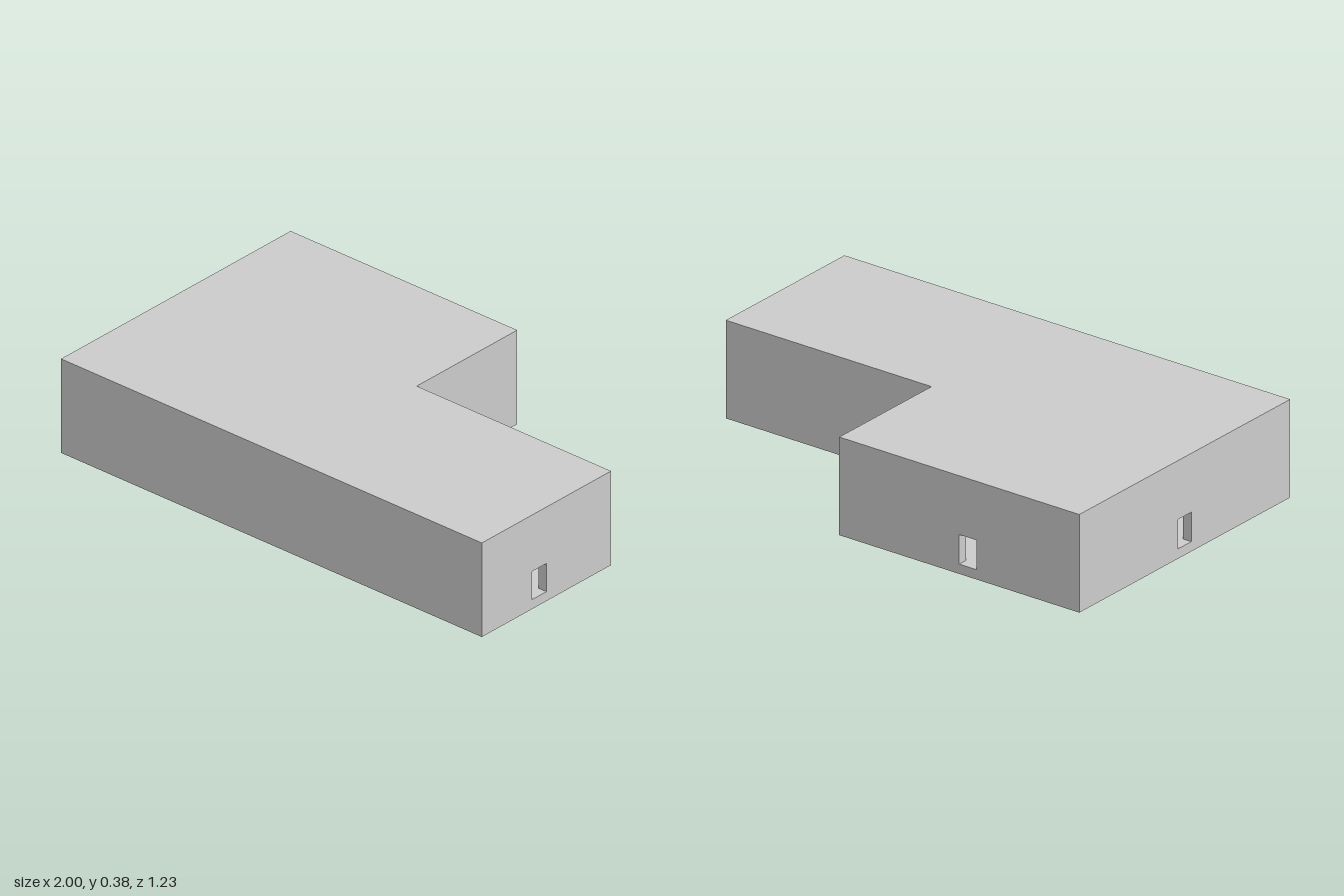
import * as THREE from 'three';

const WALL = 0.5, HEIGHT = 5, DOOR_W = 1, DOOR_H = 1.5;
const SCALE = 1 / 13;

// L-shaped plan as [x, z] corners, outside and inside of the walls
const OUTER = [[-13, 8], [13, 8], [13, -1], [1, -1], [1, -8], [-13, -8]];
const INNER = [[-12.5, 7.5], [12.5, 7.5], [12.5, -0.5], [0.5, -0.5], [0.5, -7.5], [-12.5, -7.5]];
const NAMES = ['front', 'right', 'notchBack', 'notchSide', 'back', 'left'];
// Doorway centres [x, z], keyed by wall
const DOORS = { right: [13, 4], back: [-6.5, -8], left: [-13, 0] };

export function createModel() {
  const group = new THREE.Group();
  const material = new THREE.MeshStandardMaterial({ color: 0xcccccc, flatShading: true });

  const add = (name, geometry) => {
    geometry.scale(SCALE, SCALE, SCALE);
    const mesh = new THREE.Mesh(geometry, material);
    mesh.name = name;
    group.add(mesh);
  };

  // Frame of a wall running from p to q: u along it, y up, normal to its visible side
  const frame = (p, q) => {
    const u = new THREE.Vector3(q[0] - p[0], 0, q[1] - p[1]).normalize();
    const up = new THREE.Vector3(0, 1, 0);
    return {
      matrix: new THREE.Matrix4().makeBasis(u, up, u.clone().cross(up)).setPosition(p[0], 0, p[1]),
      along: (c) => (c[0] - p[0]) * u.x + (c[1] - p[1]) * u.z,
    };
  };
  const points = (list) => list.map(([x, y]) => new THREE.Vector2(x, y));

  // One wall face; the doorway is a hole, or a notch where it reaches the floor
  const wallFace = (name, p, q, y0, y1, door) => {
    const { matrix, along } = frame(p, q);
    const length = along(q);
    const outline = [[0, y0], [length, y0], [length, y1], [0, y1]];
    let hole;
    if (door) {
      const a = along(door) - DOOR_W / 2, b = a + DOOR_W, top = WALL + DOOR_H;
      const opening = [[a, WALL], [a, top], [b, top], [b, WALL]];
      if (y0 < WALL) hole = opening;
      else outline.splice(1, 0, ...opening);
    }
    const shape = new THREE.Shape(points(outline));
    if (hole) shape.holes.push(new THREE.Path(points(hole)));
    add(name, new THREE.ShapeGeometry(shape).applyMatrix4(matrix));
  };

  // Jambs, lintel and sill through the wall thickness
  const reveal = (name, p, q, door) => {
    const { matrix, along } = frame(p, q);
    const c = along(door), mid = WALL + DOOR_H / 2, z = -WALL / 2;
    for (const s of [-1, 1]) {
      add(name + 'DoorJamb', new THREE.PlaneGeometry(WALL, DOOR_H)
        .rotateY(-s * Math.PI / 2).translate(c + s * DOOR_W / 2, mid, z).applyMatrix4(matrix));
      add(name + (s > 0 ? 'DoorLintel' : 'DoorSill'), new THREE.PlaneGeometry(DOOR_W, WALL)
        .rotateX(s * Math.PI / 2).translate(c, mid + s * DOOR_H / 2, z).applyMatrix4(matrix));
    }
  };

  // Horizontal L-shaped face, looking up or down
  const slab = (name, plan, y, faceUp) => {
    const shape = new THREE.Shape(points(plan.map(([x, z]) => [x, faceUp ? -z : z])));
    add(name, new THREE.ShapeGeometry(shape)
      .rotateX(faceUp ? -Math.PI / 2 : Math.PI / 2).translate(0, y, 0));
  };

  NAMES.forEach((name, i) => {
    const j = (i + 1) % NAMES.length, door = DOORS[name];
    wallFace(name + 'Wall', OUTER[i], OUTER[j], 0, HEIGHT, door);
    wallFace(name + 'InnerWall', INNER[j], INNER[i], WALL, HEIGHT - WALL, door);
    if (door) reveal(name, OUTER[i], OUTER[j], door);
  });

  slab('roof', OUTER, HEIGHT, true);
  slab('base', OUTER, 0, false);
  slab('floor', INNER, WALL, true);
  slab('ceiling', INNER, HEIGHT - WALL, false);
  return group;
}
